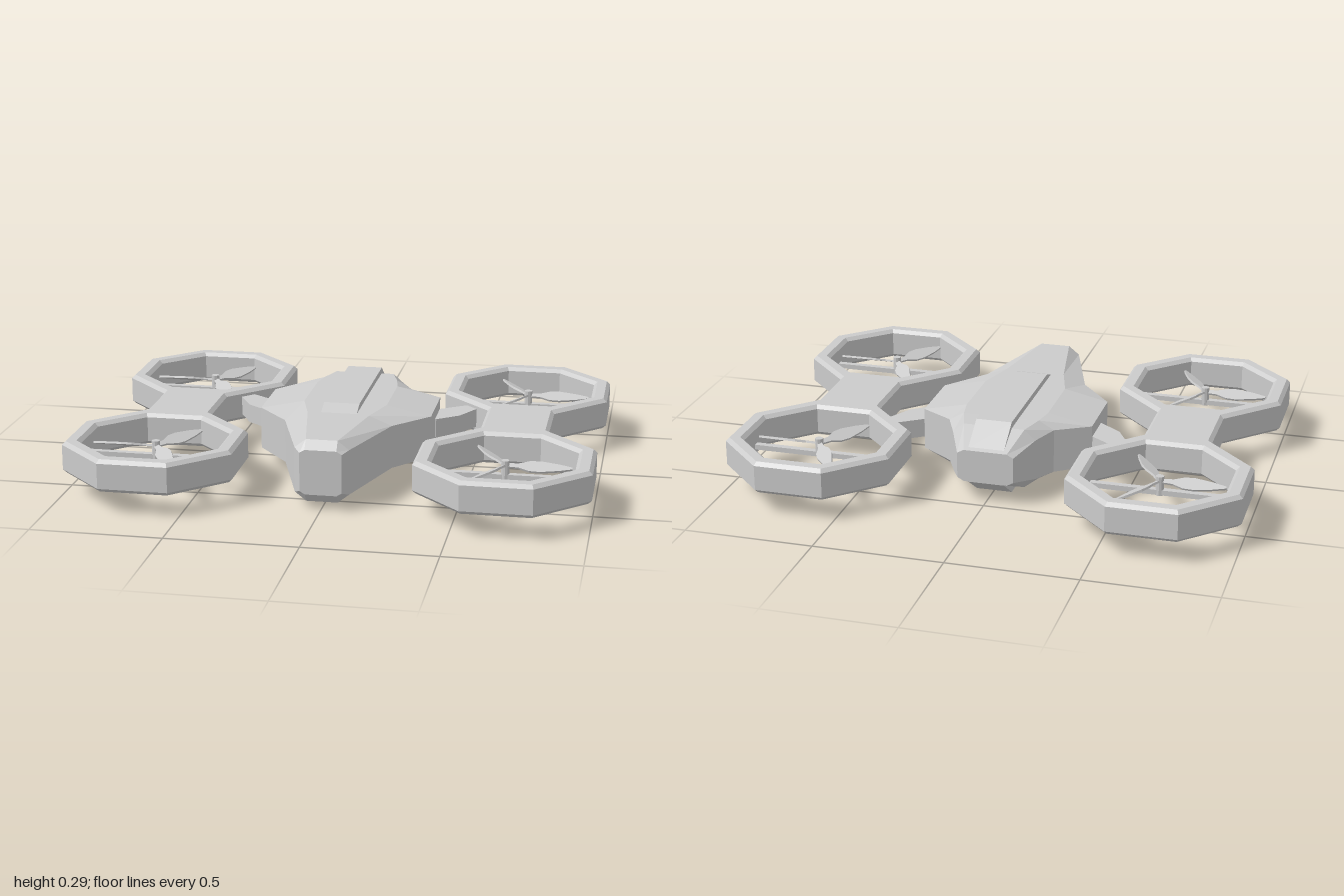
import * as THREE from 'three';

const MID = 0.147; // height of the horizontal symmetry plane
const grey = new THREE.MeshStandardMaterial({ color: 0xcccccc, flatShading: true });

function add(parent, name, geometry, x = 0, y = 0, z = 0) {
  const mesh = new THREE.Mesh(geometry, grey);
  mesh.name = name;
  mesh.position.set(x, y, z);
  parent.add(mesh);
  return mesh;
}

const points = (list) => list.map(([x, y]) => new THREE.Vector2(x, y));

// Horizontal plate of given height, centred on y = 0, with an optional chamfer
function plate(shape, height, bevel = 0) {
  const g = new THREE.ExtrudeGeometry(shape, {
    depth: height - 2 * bevel, bevelEnabled: bevel > 0, bevelSegments: 1,
    bevelSize: bevel, bevelThickness: bevel, bevelOffset: -bevel,
  });
  g.translate(0, 0, -(height - 2 * bevel) / 2);
  return g.rotateX(-Math.PI / 2);
}

// Faceted hull lofted through eight-sided sections, front to back
function hullGeometry() {
  // z, half width, half width of the flat top, top rise, shoulder rise
  const sections = [
    [0.612, 0.08, 0.06, 0.087, 0.075],
    [0.585, 0.103, 0.06, 0.121, 0.087],
    [0.255, 0.21, 0.12, 0.121, 0.085],
    [0.10, 0.34, 0.165, 0.121, 0.083],
    [-0.165, 0.34, 0.165, 0.121, 0.083],
    [-0.25, 0.21, 0.15, 0.121, 0.087],
    [-0.35, 0.164, 0.12, 0.119, 0.08],
    [-0.475, 0.11, 0.085, 0.064, 0.05],
  ];
  const rings = sections.map(([z, w, a, t, s]) =>
    [[a, t], [-a, t], [-w, s], [-w, -s], [-a, -t], [a, -t], [w, -s], [w, s]]
      .map(([x, y]) => [x, y, z]));
  const pos = [];
  const tri = (...corners) => corners.forEach((c) => pos.push(...c));
  for (let i = 0; i < rings.length - 1; i++) {
    const p = rings[i], q = rings[i + 1];
    for (let j = 0; j < 8; j++) {
      const k = (j + 1) % 8;
      tri(p[j], q[j], p[k]);
      tri(p[k], q[j], q[k]);
    }
  }
  const front = rings[0], back = rings[rings.length - 1];
  for (let j = 1; j < 7; j++) {
    tri(front[0], front[j], front[j + 1]);
    tri(back[0], back[j + 1], back[j]);
  }
  const g = new THREE.BufferGeometry();
  g.setAttribute('position', new THREE.Float32BufferAttribute(pos, 3));
  g.computeVertexNormals();
  return g;
}

// Raised spine running through the hull, showing above and below
function spineGeometry() {
  const top = [[0.25, 0.119], [0.18, 0.145], [-0.35, 0.145], [-0.462, 0.07]];
  const bottom = top.map(([z, y]) => [z, -y]).reverse();
  const g = new THREE.ExtrudeGeometry(new THREE.Shape(points([...top, ...bottom])),
    { depth: 0.14, bevelEnabled: false });
  return g.translate(0, 0, -0.07).rotateY(-Math.PI / 2);
}

// Three pitched blades on a hub, carried by a bar across the ring
function rotor() {
  const group = new THREE.Group();
  group.name = 'rotor';
  add(group, 'rotorBar', new THREE.BoxGeometry(0.54, 0.02, 0.025), 0, -0.02, 0);
  add(group, 'hub', new THREE.CylinderGeometry(0.016, 0.016, 0.075, 10), 0, 0.005, 0);
  const outline = new THREE.Shape(points([
    [0, -0.009], [0.05, -0.012], [0.09, -0.028], [0.13, -0.03], [0.20, -0.018], [0.248, -0.005],
    [0.248, 0.005], [0.20, 0.018], [0.13, 0.03], [0.09, 0.028], [0.05, 0.012], [0, 0.009],
  ]));
  for (let i = 0; i < 3; i++) {
    const arm = new THREE.Group();
    arm.name = 'bladeArm';
    arm.rotation.y = i * Math.PI * 2 / 3;
    add(arm, 'blade', plate(outline, 0.008), 0, 0.022, 0).rotation.x = 0.4;
    group.add(arm);
  }
  return group;
}

// Two octagonal guards joined by a bridge
function rotorPod() {
  const pod = new THREE.Group();
  pod.name = 'rotorPod';
  const quarter = [[0.133, 0.13], [0.33, 0.332], [0.33, 0.6], [0.133, 0.795]];
  const right = [...quarter.map(([x, z]) => [x, -z]).reverse(), ...quarter];
  const left = right.map(([x, z]) => [-x, z]).reverse();
  const frame = new THREE.Shape(points([...right, ...left]));
  const radius = 0.264 / Math.cos(Math.PI / 8);
  for (const z of [-0.465, 0.465]) {
    const hole = [];
    for (let i = 0; i < 8; i++) {
      const t = -(i + 0.5) * Math.PI / 4;
      hole.push([radius * Math.cos(t), z + radius * Math.sin(t)]);
    }
    frame.holes.push(new THREE.Path(points(hole)));
    const r = rotor();
    r.position.z = z;
    pod.add(r);
  }
  add(pod, 'guardFrame', plate(frame, 0.126, 0.014));
  return pod;
}

export function createModel() {
  const model = new THREE.Group();
  model.name = 'quadcopter';
  add(model, 'hull', hullGeometry(), 0, MID, 0);
  add(model, 'spine', spineGeometry(), 0, MID - 0.001, 0);

  for (const side of [1, -1]) {
    const pod = rotorPod();
    pod.position.set(side * 0.67, MID, 0);
    pod.rotation.y = side > 0 ? 0 : Math.PI;
    model.add(pod);
    // Swept strut from hull to guard frame; outline in x and -z
    const strut = [[0.28, 0.01], [0.345, 0.015], [0.43, 0.08], [0.49, 0.19],
      [0.50, 0.24], [0.475, 0.25], [0.345, 0.16], [0.28, 0.13]];
    add(model, 'strut', plate(new THREE.Shape(points(strut.map(([x, y]) => [side * x, y]))), 0.075), 0, MID, 0);
  }
  return model;
}
